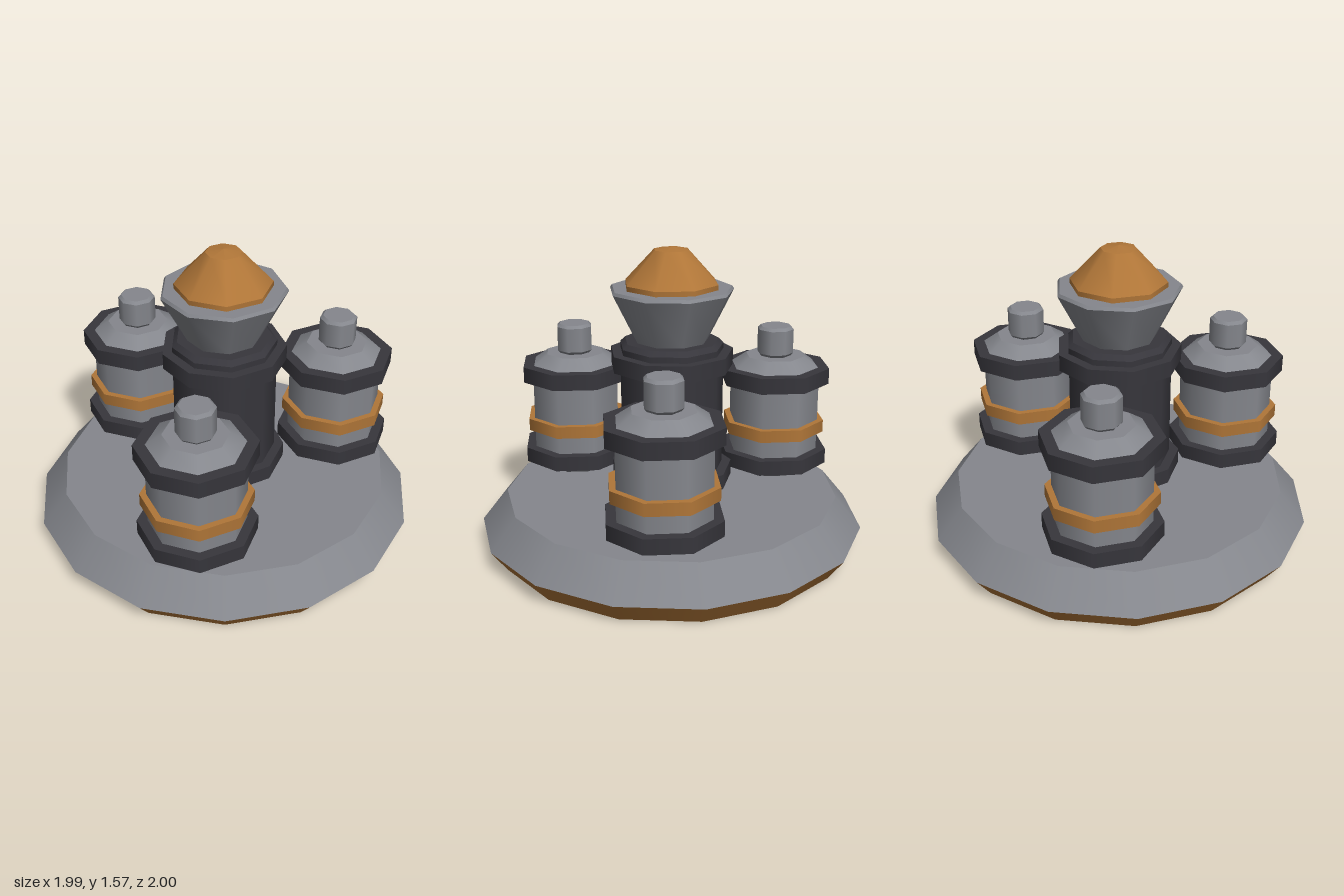
import * as THREE from 'three';
import { mergeGeometries } from 'three/addons/utils/BufferGeometryUtils.js';

function material(name, color) {
  const m = new THREE.MeshStandardMaterial({ color });
  m.name = name;
  return m;
}

// Turned solid from [radius, y] points going bottom to top: smooth around, creased at each point.
function turned(name, mat, sides, profile) {
  const bands = [];
  for (let i = 0; i < profile.length - 1; i++) {
    const pair = [profile[i], profile[i + 1]].map(([r, y]) => new THREE.Vector2(r, y));
    const band = new THREE.LatheGeometry(pair, sides);
    band.normalizeNormals();
    bands.push(band);
  }
  const geometry = mergeGeometries(bands);
  geometry.rotateY(Math.PI / 2); // first corner points to +x
  const mesh = new THREE.Mesh(geometry, mat);
  mesh.name = name;
  return mesh;
}

// Flat-ended collar
const collar = (name, mat, sides, r, y0, y1) =>
  turned(name, mat, sides, [[0, y0], [r, y0], [r, y1], [0, y1]]);

export function createModel() {
  const grey = material('grey metal', 0x85878d);
  const dark = material('dark metal', 0x37363c);
  const orange = material('copper orange', 0xb07638);

  const model = new THREE.Group();
  model.name = 'tower platform';
  const body = new THREE.Group();
  body.name = 'platform body';
  body.position.x = -0.011; // odd-sided base is centred by its bounds
  model.add(body);

  // Base disc
  body.add(
    turned('baseUnderside', dark, 15, [[0, 0], [0.925, 0]]),
    turned('baseSkirt', orange, 15, [[0.925, 0], [1.0055, 0.11]]),
    turned('baseDeck', grey, 15, [[1.0055, 0.11], [0.87, 0.275], [0, 0.275]]),
  );

  // Central column with cup and cap
  const column = new THREE.Group();
  column.name = 'centralColumn';
  column.add(
    turned('columnShaft', dark, 9,
      [[0.245, 0.275], [0.27, 0.305], [0.27, 1.065], [0.245, 1.09], [0, 1.09]]),
    collar('columnLowerCollar', dark, 9, 0.32, 0.335, 0.415),
    collar('columnUpperCollar', dark, 9, 0.32, 0.95, 1.035),
    turned('cup', grey, 9, [[0.19, 1.09], [0.32, 1.345], [0.31, 1.36], [0, 1.36]]),
    turned('cap', orange, 8, [[0.245, 1.36], [0.245, 1.385], [0.09, 1.55], [0, 1.565]]),
  );
  body.add(column);

  // Three canisters around the column
  for (let i = 0; i < 3; i++) {
    const angle = Math.PI / 3 + (i * Math.PI * 2) / 3;
    const canister = new THREE.Group();
    canister.name = 'canister' + (i + 1);
    canister.add(
      turned('canisterBody', grey, 8,
        [[0.155, 0.275], [0.245, 0.34], [0.245, 0.87], [0.16, 0.93], [0, 0.93]]),
      collar('canisterLowerCollar', dark, 8, 0.298, 0.335, 0.415),
      collar('canisterUpperCollar', dark, 8, 0.298, 0.79, 0.875),
      collar('canisterBand', orange, 8, 0.278, 0.515, 0.58),
      turned('canisterKnob', grey, 8,
        [[0.085, 0.93], [0.098, 0.945], [0.098, 1.075], [0.082, 1.09], [0, 1.09]]),
    );
    canister.position.set(0.629 * Math.cos(angle), 0, 0.629 * Math.sin(angle));
    body.add(canister);
  }
  return model;
}
